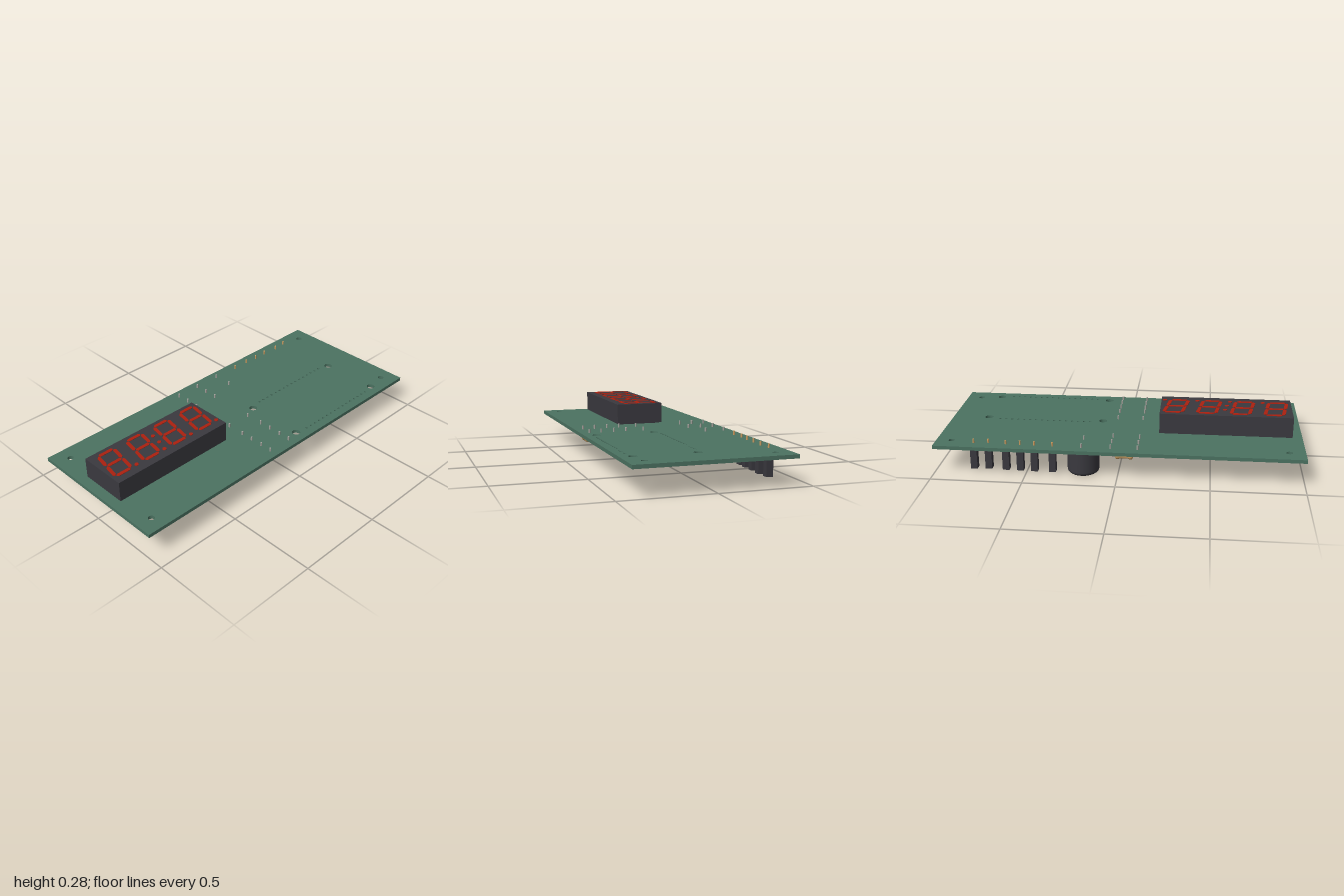
import * as THREE from 'three';
import { mergeGeometries } from 'three/addons/utils/BufferGeometryUtils.js';

const mat = (name, color) => {
  const m = new THREE.MeshStandardMaterial({ color });
  m.name = name;
  return m;
};

const BOARD_LOW = 0.142, BOARD_TOP = 0.162, PIN_TOP = 0.184;

export function createModel() {
  const green = mat('board green', 0x4b7261);
  const black = mat('black plastic', 0x3a393f);
  const red = mat('segment red', 0xac200f);
  const tan = mat('resistor tan', 0xcc9e62);
  const metal = mat('pin metal', 0xa5a39d);

  const model = new THREE.Group();
  model.name = 'displayBoard';
  const add = (name, geometry, material, parent = model) => {
    const mesh = new THREE.Mesh(geometry, material);
    mesh.name = name;
    parent.add(mesh);
    return mesh;
  };
  const group = (name) => {
    const g = new THREE.Group();
    g.name = name;
    model.add(g);
    return g;
  };
  // Upright pin between two heights
  const pin = (x, z, low, high, r = 0.005) =>
    new THREE.CylinderGeometry(r, r, high - low, 10).translate(x, (low + high) / 2, z);

  // Board with mounting holes and two rows of pin holes
  const outline = new THREE.Shape();
  outline.moveTo(-0.422, -1).lineTo(0.422, -1).lineTo(0.422, 1).lineTo(-0.422, 1).closePath();
  const hole = (x, z, r) => {
    const p = new THREE.Path();
    p.absarc(x, -z, r, 0, Math.PI * 2, true);
    outline.holes.push(p);
  };
  for (const x of [-0.336, 0.336]) for (const z of [-0.915, 0.913]) hole(x, z, 0.017);
  for (const x of [0.02, 0.355]) for (const z of [-0.792, -0.122]) hole(x, z, 0.023);
  for (const x of [0, 0.37])
    for (let i = 0; i < 16; i++) hole(x, -0.72 + i * 0.035, 0.007);
  const board = new THREE.ExtrudeGeometry(outline, {
    depth: BOARD_TOP - BOARD_LOW, bevelEnabled: false, curveSegments: 10,
  });
  add('board', board.rotateX(-Math.PI / 2).translate(0, BOARD_LOW, 0), green);

  // Display body on a slightly inset base
  const display = group('display');
  const bodyTop = 0.282, midX = -0.002, midZ = 0.578;
  add('displayBody', new THREE.BoxGeometry(0.276, bodyTop - 0.166, 0.734)
    .translate(midX, (bodyTop + 0.166) / 2, midZ), black, display);
  add('displayBase', new THREE.BoxGeometry(0.25, 0.006, 0.71).translate(midX, 0.164, midZ), black, display);
  const displayPins = [];
  for (const x of [-0.114, 0.109])
    for (let i = 0; i < 6; i++) displayPins.push(pin(x, midZ + (i - 2.5) * 0.037, 0.106, 0.166));
  add('displayPins', mergeGeometries(displayPins), metal, display);

  // Slanted seven-segment digits, drawn in reading coordinates (u right, v up)
  const plates = [];
  const slant = Math.tan(0.17);
  const plate = (points, u0) => {
    const s = new THREE.Shape(points.map(([u, v]) => new THREE.Vector2(u0 + u + v * slant, v)));
    plates.push(new THREE.ExtrudeGeometry(s, { depth: 0.002, bevelEnabled: false }));
  };
  const bar = (u, v, length, upright, u0) => {
    const h = length / 2, w = 0.01;
    const pts = [[-h, 0], [-h + w, -w], [h - w, -w], [h, 0], [h - w, w], [-h + w, w]];
    plate(pts.map(([a, b]) => (upright ? [u - b, v + a] : [u + a, v + b])), u0);
  };
  const dot = (u, v, u0) => {
    const pts = [];
    for (let i = 0; i < 14; i++) {
      const a = (i / 14) * Math.PI * 2;
      pts.push([u + 0.012 * Math.cos(a), v + 0.012 * Math.sin(a)]);
    }
    plate(pts, u0);
  };
  for (let d = 0; d < 4; d++) {
    const u0 = (d - 1.5) * 0.1855;
    for (const v of [-0.095, 0, 0.095]) bar(0, v, 0.092, false, u0);
    for (const u of [-0.05, 0.05]) for (const v of [-0.0475, 0.0475]) bar(u, v, 0.087, true, u0);
    dot(0.085, -0.092, u0);
  }
  for (const v of [-0.028, 0.036]) dot(0, v, 0);
  const toBoard = new THREE.Matrix4().makeBasis(
    new THREE.Vector3(0, 0, -1), new THREE.Vector3(-1, 0, 0), new THREE.Vector3(0, 1, 0),
  ).setPosition(-0.012, bodyTop, midZ);
  add('displaySegments', mergeGeometries(plates).applyMatrix4(toBoard), red, display);

  // Resistors under the board: bulged body and bent leads
  const profile = [[0, -0.048], [0.01, -0.048], [0.016, -0.045], [0.018, -0.038], [0.018, -0.029],
    [0.0145, -0.022], [0.0145, 0.022], [0.018, 0.029], [0.018, 0.038], [0.016, 0.045], [0.01, 0.048], [0, 0.048]]
    .map(([r, y]) => new THREE.Vector2(r, y));
  const V = (y, z) => new THREE.Vector3(0, y, z);
  for (const x of [-0.368, -0.293, -0.217, 0.057, 0.16, 0.232, 0.305, 0.373]) {
    const resistor = group('resistor');
    resistor.position.set(x, 0, 0.035);
    add('resistorBody', new THREE.LatheGeometry(profile, 18).rotateX(Math.PI / 2).translate(0, 0.122, 0), tan, resistor);
    const leads = [];
    for (const s of [-1, 1]) {
      const path = new THREE.CurvePath();
      path.add(new THREE.LineCurve3(V(0.122, s * 0.045), V(0.122, s * 0.06)));
      path.add(new THREE.QuadraticBezierCurve3(V(0.122, s * 0.06), V(0.122, s * 0.073), V(0.135, s * 0.073)));
      leads.push(new THREE.TubeGeometry(path, 10, 0.005, 10), pin(0, s * 0.073, 0.135, PIN_TOP));
    }
    add('resistorLeads', mergeGeometries(leads), metal, resistor);
  }

  // Round buzzer with a softened lower rim and a small sound hole
  const buzzer = group('buzzer');
  const rim = [[0, 0.02], [0.014, 0.02], [0.014, 0], [0.064, 0]];
  for (let i = 1; i <= 6; i++) {
    const a = (i / 6) * Math.PI / 2;
    rim.push([0.064 + 0.023 * Math.sin(a), 0.023 - 0.023 * Math.cos(a)]);
  }
  rim.push([0.087, 0.139], [0.086, BOARD_LOW], [0, BOARD_LOW]);
  add('buzzerBody', new THREE.LatheGeometry(rim.map(([r, y]) => new THREE.Vector2(r, y)), 40)
    .translate(-0.314, 0, -0.192), black, buzzer);
  add('buzzerPins', mergeGeometries([-0.37, -0.26].map((x) => pin(x, -0.196, BOARD_LOW, PIN_TOP))), metal, buzzer);

  // Row of single-pin sockets under the edge
  const sockets = [[-0.365, -0.353], [-0.365, -0.452], [-0.361, -0.531], [-0.361, -0.61], [-0.354, -0.707], [-0.361, -0.787]];
  for (const [x, z] of sockets) {
    const socket = group('socket');
    add('socketBody', new THREE.BoxGeometry(0.037, BOARD_LOW - 0.016, 0.037)
      .translate(x, (BOARD_LOW + 0.016) / 2, z), black, socket);
    add('socketPin', pin(x, z, BOARD_LOW, PIN_TOP), tan, socket);
  }

  return model;
}
